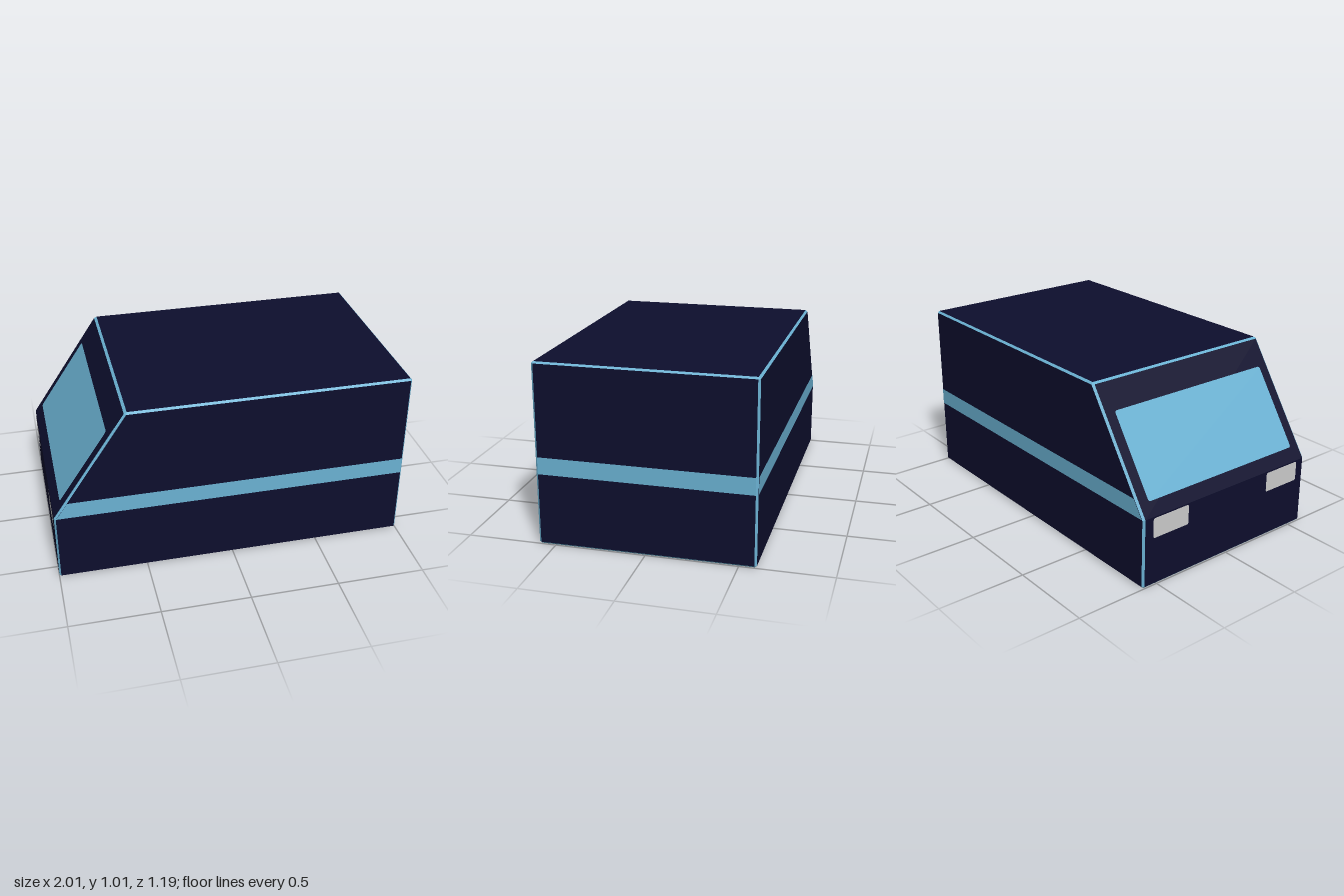
import * as THREE from 'three';

const H = 1.012, D = 0.594; // height, half width
const C = 0.01, CZ = 0.012; // chamfer in the profile plane and across the width

// Side profile, counter-clockwise seen from +z; the nose corner stays sharp
const profile = [[-1, 0], [1, 0], [1, H], [-0.585, H], [-1, 0.4]].map(p => new THREE.Vector2(...p));
const sharp = [false, false, false, false, true];

export function createModel() {
  const group = new THREE.Group();
  const mat = (name, color) => new THREE.MeshStandardMaterial({ name, color });
  const navy = mat('navy paint', 0x0d0e2d);
  const blue = mat('light blue trim', 0x6ab1d2);
  const grey = mat('lamp grey', 0xcccccc);

  // Builds one mesh from flat convex polygons, each fanned into triangles
  const addPolygons = (name, polys, material) => {
    const pos = [];
    for (const p of polys)
      for (let i = 1; i < p.length - 1; i++)
        for (const v of [p[0], p[i], p[i + 1]]) pos.push(v.x, v.y, v.z);
    const geo = new THREE.BufferGeometry();
    geo.setAttribute('position', new THREE.Float32BufferAttribute(pos, 3));
    geo.computeVertexNormals();
    const mesh = new THREE.Mesh(geo, material);
    mesh.name = name;
    group.add(mesh);
  };
  const at = (p, z) => new THREE.Vector3(p.x, p.y, z);

  // For each corner: the edge ends beside it and the inset corner of the side panel
  const n = profile.length;
  const dirs = profile.map((p, i) => profile[(i + 1) % n].clone().sub(p).normalize());
  const corners = profile.map((p, i) => {
    const d0 = dirs[(i + n - 1) % n], d1 = dirs[i], c = sharp[i] ? 0 : C;
    const n0 = new THREE.Vector2(-d0.y, d0.x), n1 = new THREE.Vector2(-d1.y, d1.x);
    const inset = n0.clone().add(n1).multiplyScalar(C / (1 + n0.dot(n1))).add(p);
    return {
      before: p.clone().addScaledVector(d0, -c),
      after: p.clone().addScaledVector(d1, c),
      inset,
    };
  });

  // Body panels and chamfered trim along the edges
  const panels = [], trim = [], zi = D - CZ;
  for (const s of [1, -1]) {
    const orient = poly => (s > 0 ? poly : poly.reverse());
    panels.push(orient(corners.map(c => at(c.inset, s * D))));
    corners.forEach((a, i) => {
      const b = corners[(i + 1) % n];
      trim.push(orient([at(a.after, s * zi), at(b.before, s * zi), at(b.inset, s * D), at(a.inset, s * D)]));
      if (!sharp[i]) trim.push(orient([at(a.before, s * zi), at(a.after, s * zi), at(a.inset, s * D)]));
    });
  }
  corners.forEach((a, i) => {
    const b = corners[(i + 1) % n];
    panels.push([at(a.after, zi), at(a.after, -zi), at(b.before, -zi), at(b.before, zi)]);
    if (!sharp[i]) trim.push([at(a.before, zi), at(a.before, -zi), at(a.after, -zi), at(a.after, zi)]);
  });
  addPolygons('bodyPanels', panels, navy);
  addPolygons('edgeTrim', trim, blue);

  // Waist stripe on both sides and the tail, following the raked nose
  const lift = 0.002, y0 = 0.4, y1 = 0.495;
  const band = [[-0.988, y0], [0.99, y0], [0.99, y1], [-0.923, y1]].map(p => new THREE.Vector2(...p));
  addPolygons('sideStripes', [
    band.map(p => at(p, D + lift)),
    band.map(p => at(p, -D - lift)).reverse(),
  ], blue);
  addPolygons('tailStripe', [
    [[y0, zi], [y0, -zi], [y1, -zi], [y1, zi]].map(([y, z]) => new THREE.Vector3(1 + lift, y, z)),
  ], blue);

  // Rounded thin plate, centred on its own origin and facing +z
  const plate = (name, w, h, r, material) => {
    const x = w / 2, y = h / 2;
    const s = new THREE.Shape();
    s.moveTo(-x + r, -y);
    s.lineTo(x - r, -y).quadraticCurveTo(x, -y, x, -y + r);
    s.lineTo(x, y - r).quadraticCurveTo(x, y, x - r, y);
    s.lineTo(-x + r, y).quadraticCurveTo(-x, y, -x, y - r);
    s.lineTo(-x, -y + r).quadraticCurveTo(-x, -y, -x + r, -y);
    const mesh = new THREE.Mesh(new THREE.ShapeGeometry(s, 4), material);
    mesh.name = name;
    group.add(mesh);
    return mesh;
  };

  // Windscreen lying on the raked face
  const slope = profile[3].clone().sub(profile[4]);
  const len = slope.length();
  slope.normalize();
  const glass = plate('windscreen', 1.05, 0.275 / slope.x, 0.015, blue);
  const mid = profile[4].clone().addScaledVector(slope, len * (0.183 / 0.415));
  const up = new THREE.Vector3(slope.x, slope.y, 0);
  const out = new THREE.Vector3(-slope.y, slope.x, 0);
  glass.quaternion.setFromRotationMatrix(
    new THREE.Matrix4().makeBasis(new THREE.Vector3().crossVectors(up, out), up, out));
  glass.position.set(mid.x, mid.y, 0).addScaledVector(out, 0.003);

  // Headlamps on the nose
  for (const s of [1, -1]) {
    const lamp = plate('headlamp', 0.24, 0.115, 0.012, grey);
    lamp.rotation.y = -Math.PI / 2;
    lamp.position.set(-1.003, 0.337, s * 0.41);
  }
  return group;
}
